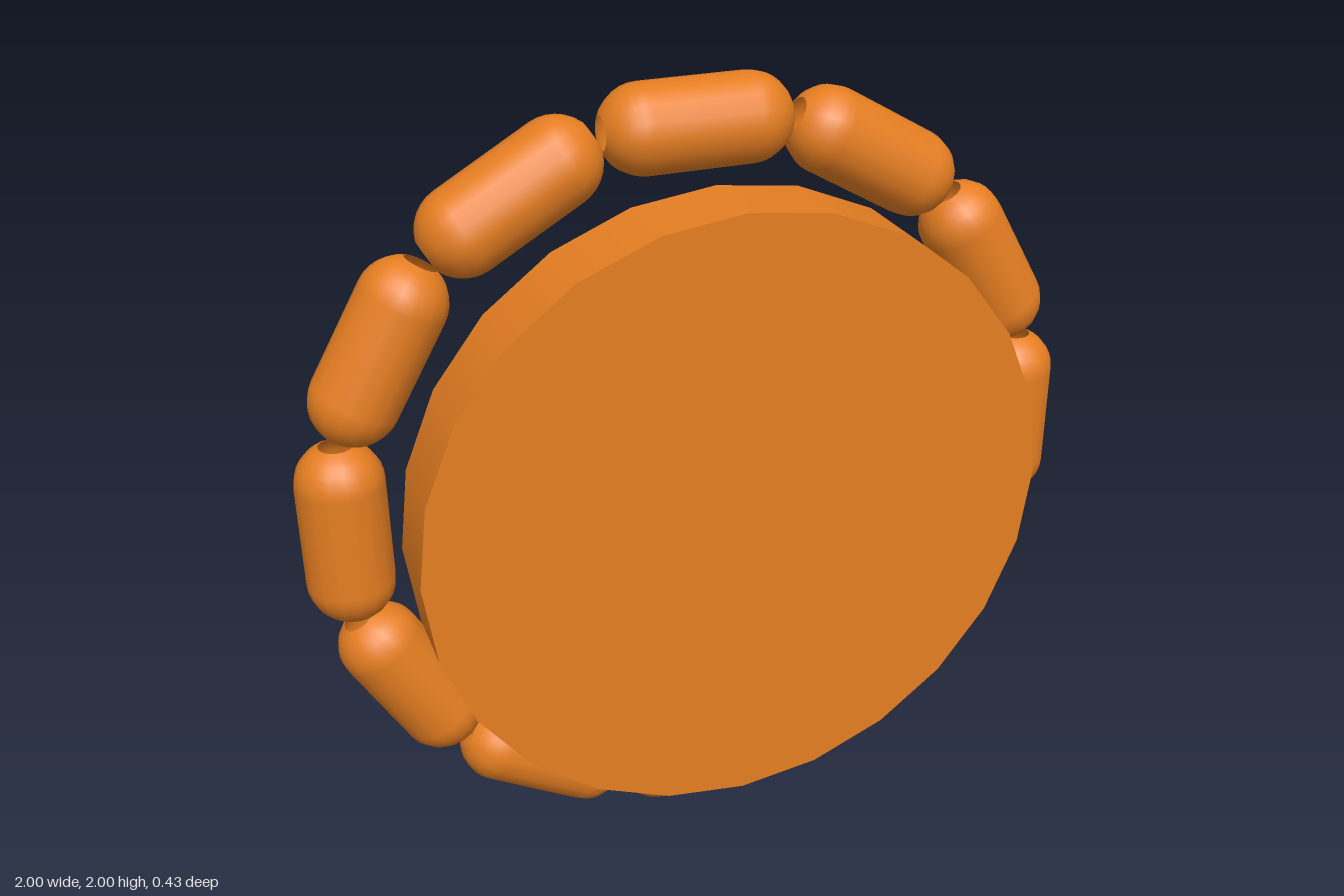
import * as THREE from 'three';

const RADIUS = 0.107;      // capsule radius
const HALF_BODY = 0.13;    // half of the capsule's straight part
const RING_RADIUS = 0.893; // ring of capsule centres
const COUNT = 12;

// Capsule profile: straight side with rounded shoulders ending in a small open hole
function capsuleGeometry() {
  const profile = [];
  const steps = 6, maxAngle = THREE.MathUtils.degToRad(67.5);
  for (const side of [-1, 1]) {
    for (let i = 0; i <= steps; i++) {
      const a = maxAngle * (side < 0 ? 1 - i / steps : i / steps);
      profile.push(new THREE.Vector2(RADIUS * Math.cos(a), side * (HALF_BODY + RADIUS * Math.sin(a))));
    }
  }
  return new THREE.LatheGeometry(profile, 16);
}

export function createModel() {
  const model = new THREE.Group();
  model.name = 'ringedDisc';
  const orange = new THREE.MeshStandardMaterial({ color: 0xe67e22 });
  const orangeOpen = new THREE.MeshStandardMaterial({ color: 0xe67e22, side: THREE.DoubleSide });

  // Front disc
  const disc = new THREE.Mesh(new THREE.CylinderGeometry(0.785, 0.785, 0.195, 24), orange);
  disc.name = 'disc';
  disc.rotation.x = Math.PI / 2;
  disc.position.set(0, 1, 0.1175);
  model.add(disc);

  // Ring of capsules behind the disc, each lying along the tangent
  const ring = new THREE.Group();
  ring.name = 'capsuleRing';
  ring.position.set(0, 1, -0.107);
  const geometry = capsuleGeometry();
  for (let i = 0; i < COUNT; i++) {
    const angle = (i / COUNT) * Math.PI * 2;
    const capsule = new THREE.Mesh(geometry, orangeOpen);
    capsule.name = `capsule${i + 1}`;
    capsule.position.set(Math.cos(angle) * RING_RADIUS, Math.sin(angle) * RING_RADIUS, 0);
    capsule.rotation.z = angle;
    ring.add(capsule);
  }
  model.add(ring);
  return model;
}
